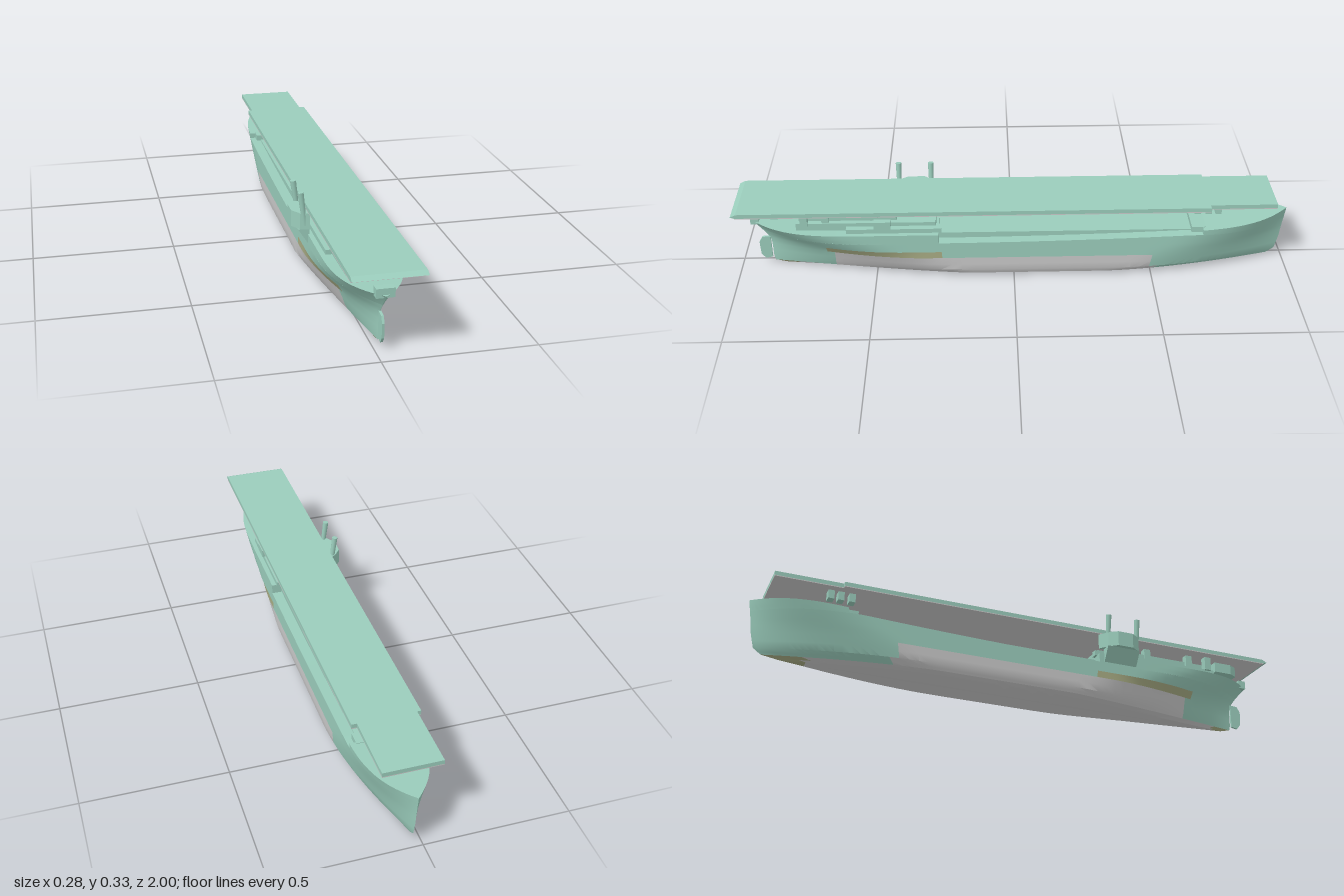
import * as THREE from 'three';
import { toCreasedNormals } from 'three/addons/utils/BufferGeometryUtils.js';

const XC = 0.024; // ship centreline
const mat = (color) => new THREE.MeshStandardMaterial({ color, side: THREE.DoubleSide });
const lerp = THREE.MathUtils.lerp;
const clamp01 = (v) => THREE.MathUtils.clamp(v, 0, 1);

// Hull form by height: bow and stern ends, widths, lengths of entry and run
const LEVELS = [0, 0.01, 0.03, 0.08, 0.11, 0.15, 0.2];
const FORM = {
  bow: [-0.88, -0.945, -0.972, -0.984, -0.987, -0.992, -1],
  stern: [0.84, 0.88, 0.885, 0.885, 0.89, 0.92, 0.967],
  width: [0.085, 0.106, 0.115, 0.117, 0.117, 0.117, 0.117],
  entry: [0.62, 0.62, 0.58, 0.52, 0.48, 0.42, 0.36],
  entryPow: [1.5, 1.6, 1.8, 2, 2.2, 2.6, 3],
  run: [0.75, 0.72, 0.68, 0.58, 0.5, 0.42, 0.34],
  runPow: [1.1, 1.2, 1.3, 1.6, 2, 2.7, 3.4],
};
function form(key, y) {
  let k = 0;
  while (k < LEVELS.length - 2 && y > LEVELS[k + 1]) k++;
  const t = clamp01((y - LEVELS[k]) / (LEVELS[k + 1] - LEVELS[k]));
  return lerp(FORM[key][k], FORM[key][k + 1], t);
}
function halfWidth(y, z) {
  const s = clamp01((z - form('bow', y)) / form('entry', y));
  const r = clamp01((form('stern', y) - z) / form('run', y));
  return form('width', y) * (1 - (1 - s) ** form('entryPow', y)) * (1 - (1 - r) ** form('runPow', y));
}
const wellDeck = (z) => 0.148 + 0.018 * clamp01((0.27 - z) / 0.9) ** 2;
const poopDeck = (z) => 0.183 + 0.012 * clamp01((z - 0.5) / 0.45) ** 2;
const foreDeck = (z) => 0.183 + 0.022 * clamp01((-0.64 - z) / 0.36);

// Mirrored skin over a grid of [half-width, y, z] points, sorted into paint classes
function skin(group, name, grid, mats, classify) {
  const buckets = mats.map(() => []);
  for (const side of [1, -1]) {
    const P = grid.map((col) => col.map(([w, y, z]) => new THREE.Vector3(XC + side * w, y, z)));
    for (let i = 0; i < P.length - 1; i++) {
      for (let j = 0; j < P[0].length - 1; j++) {
        const a = P[i][j], b = P[i + 1][j], c = P[i + 1][j + 1], d = P[i][j + 1];
        const mid = a.clone().add(c).multiplyScalar(0.5);
        const tris = side > 0 ? [[a, b, c], [a, c, d]] : [[a, c, b], [a, d, c]];
        for (const t of tris) {
          if (new THREE.Triangle(...t).getArea() > 1e-10) buckets[classify(mid)].push(...t);
        }
      }
    }
  }
  buckets.forEach((pts, k) => {
    if (!pts.length) return;
    const g = new THREE.BufferGeometry().setFromPoints(pts);
    const mesh = new THREE.Mesh(toCreasedNormals(g, 0.5), mats[k]);
    mesh.name = name + (k ? 'Panel' + k : '');
    group.add(mesh);
  });
}

export function createModel() {
  const ship = new THREE.Group();
  ship.name = 'flatDeckShip';
  const teal = mat(0x9accbb), grey = mat(0xcccccc), olive = mat(0xa8ac84);

  const add = (name, geo, m = teal) => {
    const mesh = new THREE.Mesh(geo, m);
    mesh.name = name;
    ship.add(mesh);
    return mesh;
  };
  const box = (name, x0, x1, y0, y1, z0, z1, m = teal) =>
    add(name, new THREE.BoxGeometry(x1 - x0, y1 - y0, z1 - z0), m)
      .position.set((x0 + x1) / 2, (y0 + y1) / 2, (z0 + z1) / 2);
  // Side profile in (z, y), or cross-section in (x, y), or plan in (x, z), extruded
  const extrude = (pts, depth) => new THREE.ExtrudeGeometry(
    new THREE.Shape(pts.map((p) => new THREE.Vector2(...p))), { depth, bevelEnabled: false });
  const plan = (name, pts, y0, y1, m = teal) =>
    add(name, extrude(pts, y1 - y0).rotateX(Math.PI / 2).translate(0, y1, 0), m);

  // Main hull: keel, bilge, sides and well deck
  const rows = [0, 0.004, 0.01, 0.018, 0.03, 0.055, 0.084, 0.11, 0.13];
  const N = 64, hull = [];
  for (let i = 0; i <= N; i++) {
    const u = (1 - Math.cos(Math.PI * i / N)) / 2 * 0.6 + 0.4 * i / N;
    const at = (y) => lerp(form('stern', y), form('bow', y), u);
    const top = wellDeck(at(0.15));
    hull.push([
      [0, 0, at(0)],
      ...[...rows, top].map((y) => [halfWidth(y, at(y)), y, at(y)]),
      [0, top, at(top)],
    ]);
  }
  skin(ship, 'hull', hull, [teal, grey, olive], (m) => {
    if (m.y < 0.012) return Math.abs(m.z) > 0.8 ? 2 : 1;
    if (m.y < 0.084 && m.z < 0.66 && m.z > -0.51) return 1;
    if (m.y > 0.084 && m.y < 0.11 && m.z > 0.26 && m.z < 0.68) return 2;
    return 0;
  });

  // Raised ends: poop (stern) and forecastle (bow), each closed by a bulkhead
  function raisedEnd(name, zIn, key, deck) {
    const cols = [], n = 26;
    for (let i = 0; i <= n; i++) {
      const t = 1 - (1 - i / n) ** 1.7;
      const at = (y) => lerp(zIn, form(key, y), t);
      const y0 = wellDeck(at(0.15)) - 0.002, y1 = deck(at(0.19));
      const col = [0, 0.33, 0.66, 1].map((f) => {
        const y = lerp(y0, y1, f);
        return [halfWidth(y, at(y)), y, at(y)];
      });
      col.push([0, y1, at(y1)]);
      cols.push(col);
    }
    cols.unshift(cols[0].map(([, y, z]) => [0, y, z]));
    if (key === 'stern') cols.reverse();
    skin(ship, name, cols, [teal], () => 0);
  }
  raisedEnd('poop', 0.27, 'stern', poopDeck);
  raisedEnd('forecastle', -0.68, 'bow', foreDeck);

  // Rudder
  const blade = [[0.89, 0.025], [0.915, 0.02], [0.93, 0.04], [0.932, 0.09], [0.92, 0.112], [0.89, 0.115]];
  add('rudder', extrude(blade, 0.008).rotateY(-Math.PI / 2).translate(XC + 0.004, 0, 0));

  // Flight deck: wide main span with sloped after end, narrower forward span, grey underside
  const span = (name, x0, x1, pts) =>
    add(name, extrude(pts, x1 - x0).rotateY(-Math.PI / 2).translate(x1, 0, 0));
  span('flightDeck', -0.094, 0.141, [[-0.7, 0.265], [0.985, 0.265], [1, 0.27], [0.98, 0.28], [-0.7, 0.28]]);
  span('flightDeckForward', -0.08, 0.122, [[-0.94, 0.265], [-0.7, 0.265], [-0.7, 0.28], [-0.94, 0.28]]);
  box('deckUnderside', -0.094, 0.141, 0.262, 0.265, -0.7, 0.985, grey);
  box('deckUndersideForward', -0.08, 0.122, 0.262, 0.265, -0.94, -0.7, grey);

  // Long low trunk on the well deck and house at the forecastle break
  box('deckTrunk', XC - 0.08, XC + 0.08, 0.14, 0.17, -0.64, 0.27);
  box('forecastleHouse', XC - 0.095, XC + 0.095, 0.155, 0.188, -0.69, -0.64);

  // Deck supports forward
  for (const side of [-1, 1]) {
    for (const z of [-0.66, -0.7, -0.735]) {
      const x = XC + side * 0.06;
      box('forwardFitting', x - 0.016, x + 0.016, 0.23, 0.262, z - 0.011, z + 0.011);
    }
  }

  // After deckhouses
  box('lowerDeckhouse', XC - 0.078, XC + 0.078, 0.18, 0.214, 0.28, 0.78);
  box('upperDeckhouse', XC - 0.06, XC + 0.06, 0.214, 0.238, 0.42, 0.77);
  const tub = [[-0.058, 0.8], [0.058, 0.8], [0.058, 0.87], [0.042, 0.9], [-0.042, 0.9], [-0.058, 0.87]];
  plan('afterGallery', tub.map(([x, z]) => [XC + x, z]), 0.223, 0.262);
  for (const [z, w] of [[0.75, 0.075], [0.675, 0.06], [0.5, 0.05]]) {
    for (const side of [-1, 1]) {
      const x = XC + side * w;
      box('deckhouseBlock', x - 0.013, x + 0.013, 0.21, 0.262, z - 0.013, z + 0.013);
    }
  }
  box('sideLocker', 0.112, 0.134, 0.207, 0.235, 0.44, 0.5);
  box('sternLocker', XC - 0.03, XC + 0.03, 0.185, 0.216, 0.92, 0.95);

  // Poop side wings
  for (const side of [-1, 1]) {
    const x = XC + side * 0.088;
    box('poopRail', x - 0.012, x + 0.012, 0.18, 0.2, 0.26, 0.6);
  }

  // Side tower with bracket below and two raked pipes
  plan('sideTower', [[-0.088, 0.27], [-0.12, 0.295], [-0.143, 0.325], [-0.143, 0.385],
    [-0.12, 0.42], [-0.088, 0.43]], 0.203, 0.26);
  add('towerBracket', extrude([[-0.127, 0.203], [-0.088, 0.143], [-0.088, 0.203]], 0.13).translate(0, 0, 0.29));
  const foot = new THREE.Vector3(-0.103, 0.215, 0), head = new THREE.Vector3(-0.118, 0.333, 0);
  const axis = head.clone().sub(foot);
  for (const z of [0.3, 0.418]) {
    const pipe = add('rakedFunnel', new THREE.CylinderGeometry(0.0105, 0.0075, axis.length(), 12));
    pipe.position.copy(foot).lerp(head, 0.5).setZ(z);
    pipe.quaternion.setFromUnitVectors(new THREE.Vector3(0, 1, 0), axis.clone().normalize());
  }
  return ship;
}
